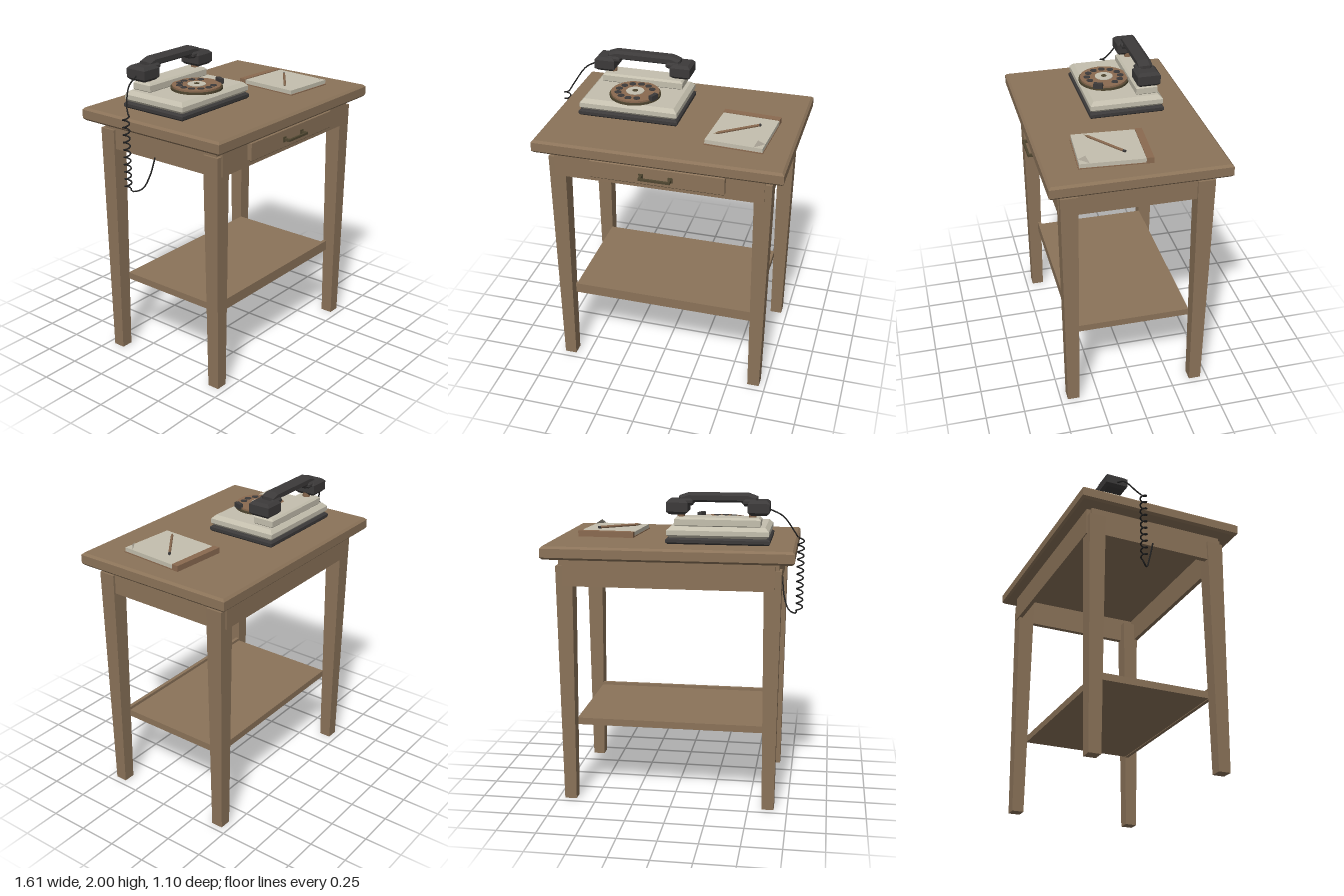
import * as THREE from 'three';

const mat = (name, color) => {
  const m = new THREE.MeshStandardMaterial({ color });
  m.name = name;
  return m;
};

export function createModel() {
  const root = new THREE.Group();
  root.name = 'telephoneTable';
  const wood = mat('wood', 0x8b7359);
  const cream = mat('cream', 0xc4bfae);
  const black = mat('black', 0x3c3a3a);
  const cordBlack = mat('cordBlack', 0x222222);
  const copper = mat('copper', 0x8a6a50);
  const brass = mat('agedBrass', 0x4f4630);
  const paperShade = mat('paperShade', 0xa8a294);

  const add = (name, geo, material, parent = root) => {
    const m = new THREE.Mesh(geo, material);
    m.name = name;
    parent.add(m);
    return m;
  };
  const group = (name, parent = root) => {
    const g = new THREE.Group();
    g.name = name;
    parent.add(g);
    return g;
  };
  // Box given by its limits on each axis
  const box = (name, [x0, x1], [y0, y1], [z0, z1], material, parent) => {
    const m = add(name, new THREE.BoxGeometry(x1 - x0, y1 - y0, z1 - z0), material, parent);
    m.position.set((x0 + x1) / 2, (y0 + y1) / 2, (z0 + z1) / 2);
    return m;
  };
  // The same with every edge chamfered by c
  const chamferBox = (name, [x0, x1], [y0, y1], [z0, z1], c, material, parent) => {
    const w = (x1 - x0) / 2 - c, d = (z1 - z0) / 2 - c;
    const s = new THREE.Shape([[-w, -d], [w, -d], [w, d], [-w, d]].map(p => new THREE.Vector2(...p)));
    const geo = new THREE.ExtrudeGeometry(s, {
      depth: y1 - y0 - 2 * c, bevelEnabled: true, bevelSize: c, bevelThickness: c, bevelSegments: 1,
    });
    geo.translate(0, 0, c).rotateX(-Math.PI / 2);
    const m = add(name, geo, material, parent);
    m.position.set((x0 + x1) / 2, y0, (z0 + z1) / 2);
    return m;
  };
  const disc = (name, r, h, x, y, z, material, parent, sides = 24) => {
    const m = add(name, new THREE.CylinderGeometry(r, r, h, sides), material, parent);
    m.position.set(x, y, z);
    return m;
  };
  const tube = (name, points, r, segments, material, parent) => {
    const curve = new THREE.CatmullRomCurve3(points.map(p => new THREE.Vector3(...p)));
    return add(name, new THREE.TubeGeometry(curve, segments, r, 6), material, parent);
  };

  // ---- Table ----
  const table = group('table');
  const cx = 0.022;
  chamferBox('tabletop', [-0.758, 0.8], [1.605, 1.688], [-0.55, 0.547], 0.014, wood, table);
  for (const sx of [-1, 1]) {
    for (const sz of [-1, 1]) {
      const geo = new THREE.CylinderGeometry(0.054 * Math.SQRT2, 0.039 * Math.SQRT2, 1.555, 4, 1)
        .rotateY(Math.PI / 4).toNonIndexed();
      geo.computeVertexNormals();
      add('leg', geo, wood, table).position.set(cx + sx * 0.648, 0.7775, sz * 0.416);
    }
    const x = cx + sx * 0.67;
    box('sideApron', [x - 0.017, x + 0.017], [1.43, 1.61], [-0.45, 0.45], wood, table);
    const z = sx * 0.461;
    box('longApron', [-0.64, 0.68], [1.43, 1.61], [z - 0.014, z + 0.014], wood, table);
  }
  box('shelf', [-0.585, 0.63], [0.49, 0.535], [-0.375, 0.375], wood, table);
  box('shelfLip', [-0.585, 0.63], [0.485, 0.555], [0.372, 0.395], wood, table);

  // Drawer front and pull
  const drawer = group('drawer', table);
  chamferBox('drawerFront', [-0.402, 0.445], [1.465, 1.585], [0.47, 0.505], 0.006, wood, drawer);
  for (const x of [-0.072, 0.112]) {
    box('pullMount', [x - 0.014, x + 0.014], [1.505, 1.538], [0.505, 0.512], brass, drawer);
    box('pullPost', [x - 0.008, x + 0.008], [1.513, 1.53], [0.51, 0.545], brass, drawer);
  }
  box('pullBar', [-0.08, 0.12], [1.514, 1.528], [0.537, 0.551], brass, drawer);

  // ---- Telephone ----
  const phone = group('telephone');
  chamferBox('phoneBase', [-0.597, 0.05], [1.688, 1.727], [-0.345, 0.135], 0.01, black, phone);
  chamferBox('phoneBody', [-0.59, 0.045], [1.72, 1.797], [-0.34, 0.13], 0.024, cream, phone);
  chamferBox('cradle', [-0.537, 0], [1.79, 1.852], [-0.315, -0.175], 0.012, cream, phone);
  for (const x of [-0.482, -0.035]) {
    disc('cradlePost', 0.024, 0.04, x, 1.865, -0.245, copper, phone, 8);
  }

  // Rotary dial with ten finger holes
  const dial = group('dial', phone);
  dial.position.set(-0.27, 1.797, -0.03);
  disc('dialRim', 0.164, 0.014, 0, 0.007, 0, brass, dial);
  disc('dialPlate', 0.155, 0.014, 0, 0.018, 0, copper, dial);
  for (let i = 0; i < 10; i++) {
    const a = THREE.MathUtils.degToRad(27 + i * 29.5);
    disc('fingerHole', 0.022, 0.004, Math.cos(a) * 0.11, 0.026, -Math.sin(a) * 0.11, black, dial, 12);
  }
  disc('dialCentre', 0.058, 0.005, 0, 0.0265, 0, cream, dial);
  disc('dialHub', 0.018, 0.006, 0, 0.029, 0, brass, dial, 8);
  const stop = box('fingerStop', [0.127, 0.155], [0.015, 0.048], [0.04, 0.1], black, dial);
  stop.rotation.y = -0.4;

  // Handset: arched grip with a block at each end
  const handset = group('handset', phone);
  const mid = -0.27;
  const profile = [[-0.23, 1.935], [-0.17, 1.935], [-0.15, 1.957], [0.15, 1.957], [0.17, 1.935],
    [0.23, 1.935], [0.23, 1.97], [0.185, 1.986], [-0.185, 1.986], [-0.23, 1.97]];
  const grip = new THREE.ExtrudeGeometry(new THREE.Shape(profile.map(p => new THREE.Vector2(...p))), {
    depth: 0.046, bevelEnabled: true, bevelSize: 0.014, bevelThickness: 0.022, bevelSegments: 1,
  });
  add('grip', grip, black, handset).position.set(mid, 0, -0.268);
  for (const s of [-1, 1]) {
    const x = mid + s * 0.253;
    chamferBox('earpiece', [x - 0.067, x + 0.067], [1.868, 1.96], [-0.318, -0.17], 0.018, black, handset);
    const n = mid + s * 0.2;
    chamferBox('neck', [n - 0.045, n + 0.045], [1.925, 1.968], [-0.302, -0.188], 0.014, black, handset);
  }

  // Coiled cord hanging past the table edge
  const cord = group('cord', phone);
  const coil = [];
  const turns = 10, steps = turns * 8;
  for (let i = 0; i <= steps; i++) {
    const a = (i / 8) * Math.PI * 2;
    coil.push([-0.782 + 0.02 * Math.cos(a), 1.72 - 0.47 * i / steps, -0.15 + 0.02 * Math.sin(a)]);
  }
  tube('cordTop', [[-0.585, 1.905, -0.24], [-0.67, 1.86, -0.225], [-0.74, 1.76, -0.18], coil[0]], 0.005, 16, cordBlack, cord);
  tube('cordCoil', coil, 0.005, 240, cordBlack, cord);
  tube('cordTail', [coil[steps], [-0.762, 1.23, -0.14], [-0.715, 1.24, -0.1], [-0.682, 1.32, -0.065],
    [-0.665, 1.45, -0.03]], 0.005, 20, cordBlack, cord);

  // ---- Notepad and pencil ----
  const pad = group('notepad');
  pad.position.set(0.465, 1.688, 0.105);
  pad.rotation.y = -0.07;
  box('padBacking', [-0.184, 0.184], [0, 0.006], [-0.223, 0.223], copper, pad);
  box('paper', [-0.181, 0.181], [0.006, 0.032], [-0.22, 0.217], cream, pad);
  box('binding', [-0.184, 0.184], [0.004, 0.037], [-0.223, -0.178], copper, pad);
  // Curled page corner
  const curl = new THREE.BufferGeometry();
  curl.setAttribute('position', new THREE.Float32BufferAttribute(
    [0.125, 0.033, 0.217, 0.181, 0.033, 0.155, 0.14, 0.062, 0.175], 3));
  curl.computeVertexNormals();
  paperShade.side = THREE.DoubleSide;
  add('curledCorner', curl, paperShade, pad);

  const pencil = group('pencil');
  const from = new THREE.Vector3(0.305, 1.729, 0.235), to = new THREE.Vector3(0.562, 1.729, 0.042);
  const length = from.distanceTo(to);
  pencil.position.copy(from);
  pencil.quaternion.setFromUnitVectors(new THREE.Vector3(0, 1, 0), to.clone().sub(from).normalize());
  disc('pencilShaft', 0.009, length - 0.05, 0, length / 2 + 0.01, 0, copper, pencil, 6);
  add('pencilTip', new THREE.ConeGeometry(0.009, 0.035, 6).rotateX(Math.PI), wood, pencil).position.y = 0.0175;
  disc('eraser', 0.009, 0.015, 0, length - 0.0075, 0, black, pencil, 6);

  return root;
}
